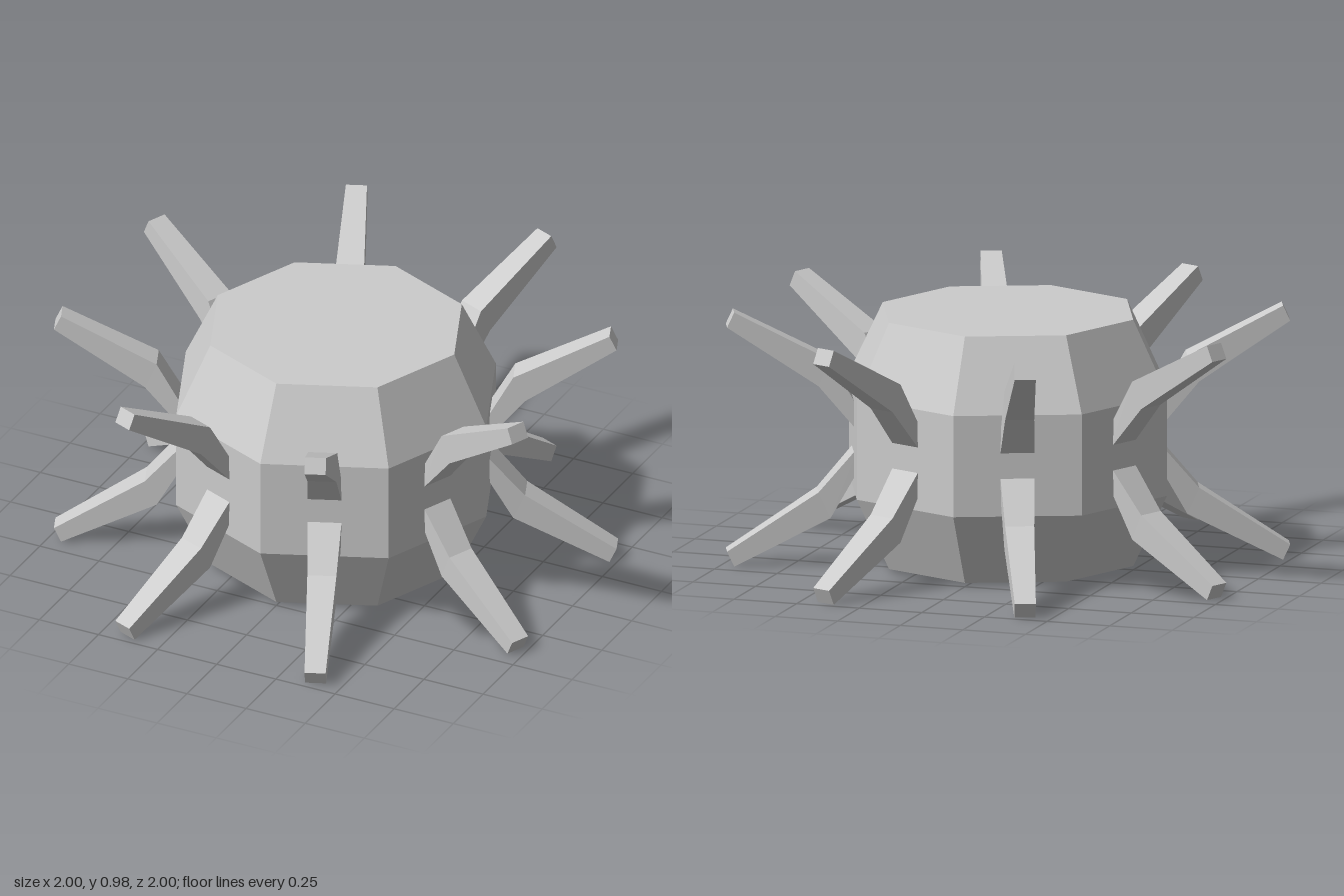
import * as THREE from 'three';

const MID = 0.495; // height of the mirror plane between the two spike rings

// Bent, tapering spike pointing along +z, with heights measured from MID
function spikeGeometry() {
  // half widths, then [z, y] of the upper and lower edge of each cross-section
  const sections = [
    { w: [0.064, 0.066], top: [0.565, 0.111], bottom: [0.565, 0.024] },
    { w: [0.055, 0.055], top: [0.675, 0.305], bottom: [0.72, 0.205] },
    { w: [0.04, 0.04], top: [1.038, 0.49], bottom: [1.065, 0.432] },
  ];
  const positions = [];
  for (const { w, top, bottom } of sections) {
    positions.push(-w[0], top[1], top[0], w[0], top[1], top[0]);
    positions.push(w[1], bottom[1], bottom[0], -w[1], bottom[1], bottom[0]);
  }
  const index = [];
  for (let s = 0; s < sections.length - 1; s++) {
    for (let i = 0; i < 4; i++) {
      const a = s * 4 + i, b = s * 4 + (i + 1) % 4;
      index.push(a, a + 4, b + 4, a, b + 4, b);
    }
  }
  index.push(8, 11, 10, 8, 10, 9); // tip
  index.push(0, 1, 2, 0, 2, 3);    // hidden root
  const geometry = new THREE.BufferGeometry();
  geometry.setAttribute('position', new THREE.Float32BufferAttribute(positions, 3));
  geometry.setIndex(index);
  geometry.computeVertexNormals();
  return geometry;
}

export function createModel() {
  const model = new THREE.Group();
  const grey = new THREE.MeshStandardMaterial({ color: 0xcccccc, flatShading: true });
  grey.name = 'light grey';

  // Eight-sided body with bevelled top and bottom
  const profile = [[0, 0.02], [0.5, 0.02], [0.635, 0.3], [0.635, 0.69], [0.5, 0.97], [0, 0.97]]
    .map(([r, y]) => new THREE.Vector2(r, y));
  const body = new THREE.Mesh(new THREE.LatheGeometry(profile, 8), grey);
  body.name = 'body';
  model.add(body);

  // One upper and one lower spike on each side of the body
  const geometry = spikeGeometry();
  for (const [name, flip] of [['upperSpike', 0], ['lowerSpike', Math.PI]]) {
    for (let i = 0; i < 8; i++) {
      const spike = new THREE.Mesh(geometry, grey);
      spike.name = name + (i + 1);
      spike.position.y = MID;
      spike.rotation.set(0, (i + 0.5) * Math.PI / 4, flip);
      model.add(spike);
    }
  }
  return model;
}
